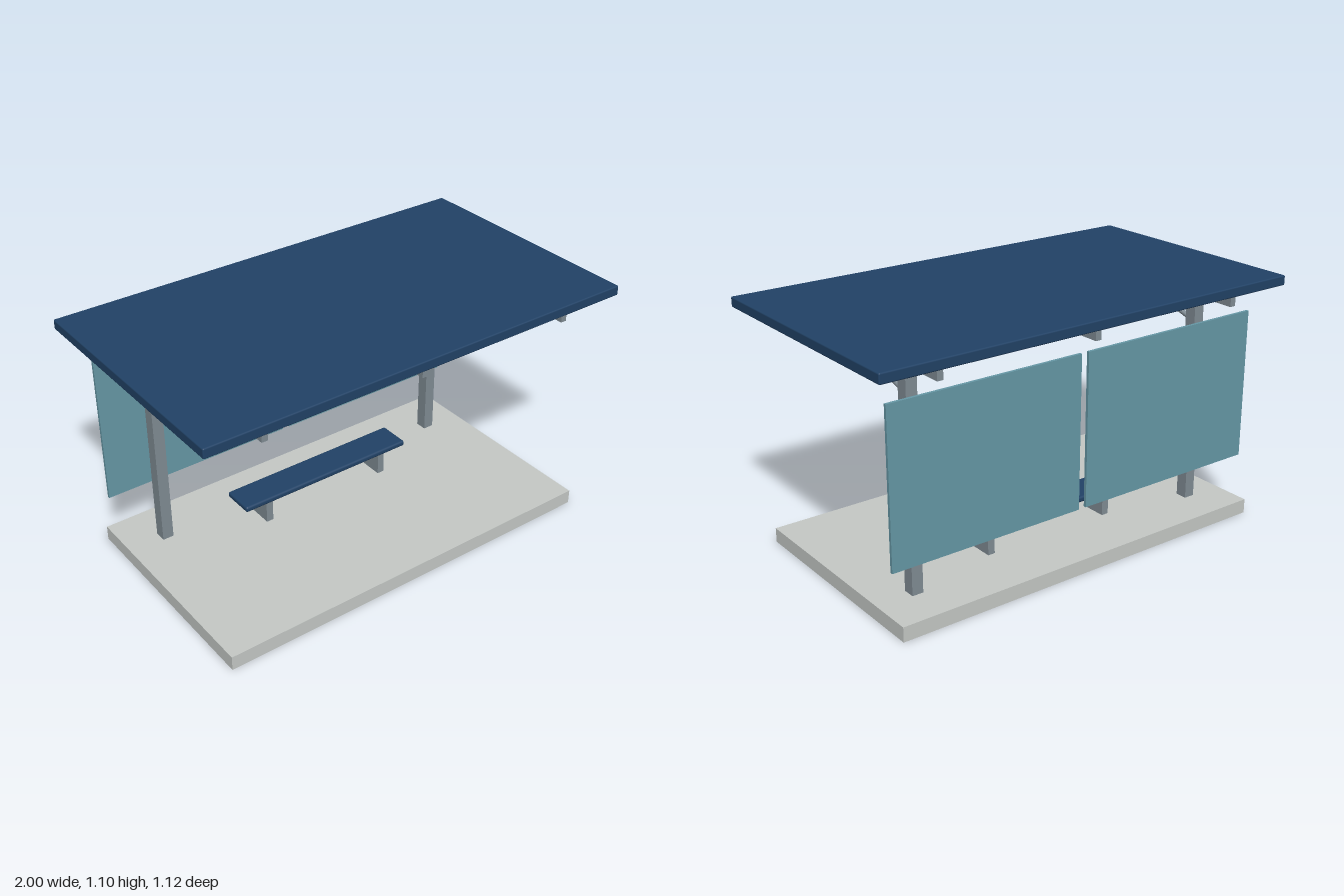
import * as THREE from 'three';
import { RoundedBoxGeometry } from 'three/addons/geometries/RoundedBoxGeometry.js';

const material = (name, color) => {
  const m = new THREE.MeshStandardMaterial({ color });
  m.name = name;
  return m;
};

export function createModel() {
  const navy = material('navy paint', 0x214266);
  const steel = material('grey steel', 0x808c94);
  const glass = material('teal glass', 0x6698a6);
  const concrete = material('pale concrete', 0xc5c9c6);

  const model = new THREE.Group();
  model.name = 'shelter';

  const add = (name, geometry, mat) => {
    const mesh = new THREE.Mesh(geometry, mat);
    mesh.name = name;
    model.add(mesh);
    return mesh;
  };

  // Box given by its [min, max] extents; a radius rounds the edges
  const block = (name, mat, [x0, x1], [y0, y1], [z0, z1], radius = 0) => {
    const size = [x1 - x0, y1 - y0, z1 - z0];
    const geometry = radius
      ? new RoundedBoxGeometry(...size, 3, radius)
      : new THREE.BoxGeometry(...size);
    const mesh = add(name, geometry, mat);
    mesh.position.set((x0 + x1) / 2, (y0 + y1) / 2, (z0 + z1) / 2);
    return mesh;
  };
  const around = (x, width) => [x - width / 2, x + width / 2];

  // Slab and roof
  block('base', concrete, [-0.908, 0.908], [0, 0.065], [-0.508, 0.508]);
  block('roof', navy, [-1, 1], [1.06, 1.104], [-0.5625, 0.5625], 0.006);

  // Roof beams running front to back
  for (const x of [-0.73, 0, 0.73]) {
    block('roofBeam', steel, around(x, 0.027), [1.007, 1.062], [-0.526, 0.526]);
  }

  for (const side of [-1, 1]) {
    // Rear posts
    block('post', steel, around(side * 0.73, 0.05), [0.065, 1.061], [-0.335, -0.281]);

    // Round brace from the post up into the roof beam
    const start = new THREE.Vector3(side * 0.73, 0.892, -0.307);
    const end = new THREE.Vector3(side * 0.73, 1.03, 0.153);
    const direction = end.clone().sub(start);
    const brace = add('brace',
      new THREE.CylinderGeometry(0.0115, 0.0115, direction.length(), 16), steel);
    brace.position.copy(start).add(end).multiplyScalar(0.5);
    brace.quaternion.setFromUnitVectors(new THREE.Vector3(0, 1, 0), direction.normalize());

    // Back panels
    block('backPanel', glass, around(side * 0.4645, 0.893), [0.265, 0.937], [-0.451, -0.438]);

    // Bench legs
    block('benchLeg', steel, around(side * 0.308, 0.033), [0.065, 0.175], [-0.242, -0.12]);
  }

  // Bench seat
  block('benchSeat', navy, [-0.435, 0.435], [0.17, 0.197], [-0.256, -0.106], 0.01);

  return model;
}
